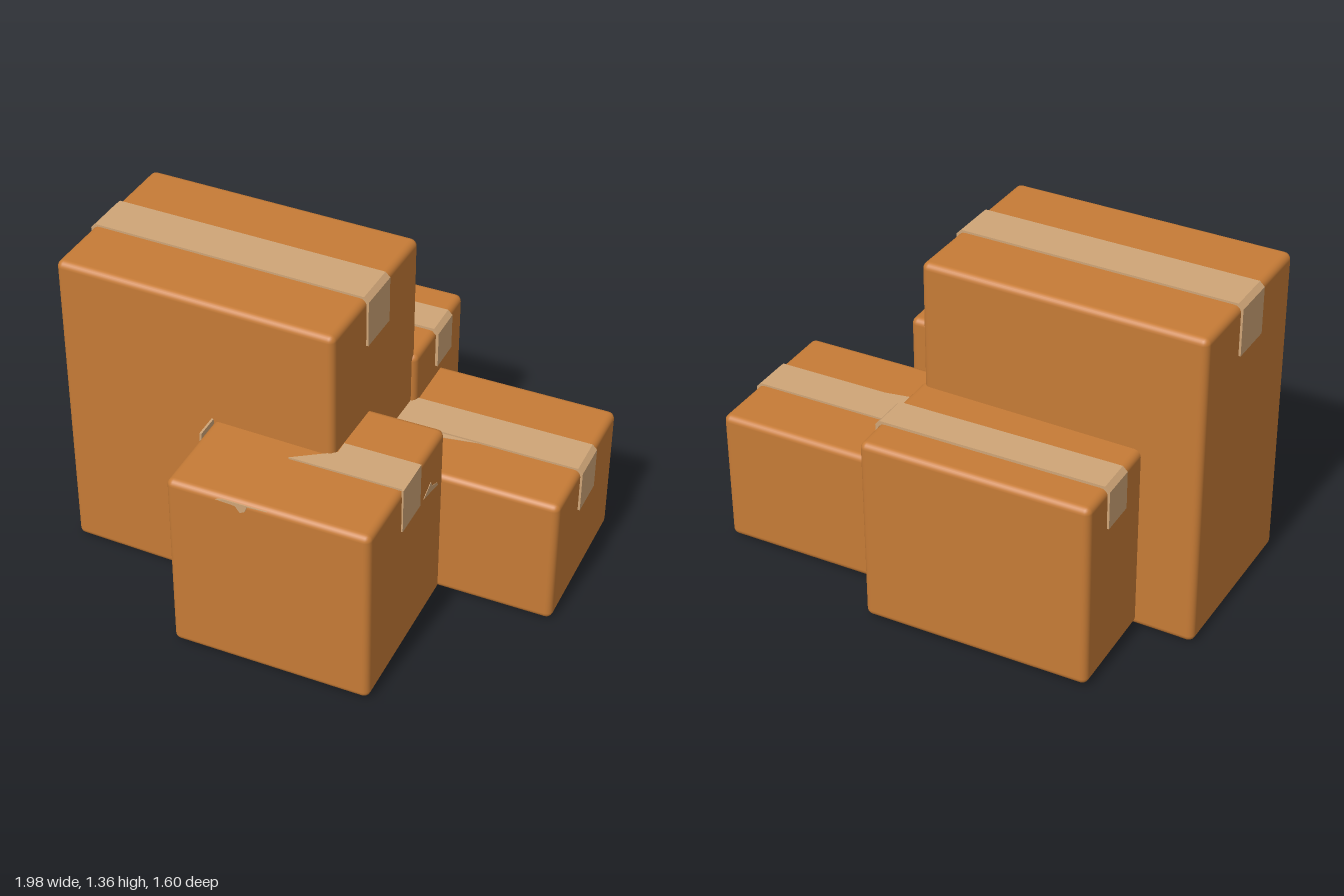
import * as THREE from 'three';
import { RoundedBoxGeometry } from 'three/addons/geometries/RoundedBoxGeometry.js';

const cardboard = new THREE.MeshStandardMaterial({ color: 0xc67b36 });
cardboard.name = 'cardboard';
const tape = new THREE.MeshStandardMaterial({ color: 0xcfa577 });
tape.name = 'packing tape';

function mesh(name, geometry, material) {
  const m = new THREE.Mesh(geometry, material);
  m.name = name;
  return m;
}

// Closed carton with softly rounded edges, its base at y = y0
function carton(w, h, d, y0) {
  const g = new RoundedBoxGeometry(w, h, d, 3, 0.028);
  g.translate(0, y0 + h / 2, 0);
  return mesh('carton', g, cardboard);
}

// Tape strip over the top, folded down both ends (x0..x1 is the carton's span)
function tapeStrip(x0, x1, top, drop, z0, z1) {
  const t = 0.009, r = 0.02, i = 0.003;
  const s = new THREE.Shape();
  s.moveTo(x0 - t, drop);
  s.lineTo(x0 - t, top + t - r);
  s.lineTo(x0 - t + r, top + t);
  s.lineTo(x1 + t - r, top + t);
  s.lineTo(x1 + t, top + t - r);
  s.lineTo(x1 + t, drop);
  s.lineTo(x1 - i, drop);
  s.lineTo(x1 - i, top - r);
  s.lineTo(x1 - r, top - i);
  s.lineTo(x0 + r, top - i);
  s.lineTo(x0 + i, top - r);
  s.lineTo(x0 + i, drop);
  const g = new THREE.ExtrudeGeometry(s, { depth: z1 - z0, bevelEnabled: false });
  g.translate(0, 0, z0);
  return mesh('tapeStrip', g, tape);
}

// Thin flat scrap of tape, drawn in its own XY plane
function scrap(name, points, depth = 0.004) {
  const s = new THREE.Shape(points.map(([x, y]) => new THREE.Vector2(x, y)));
  return mesh(name, new THREE.ExtrudeGeometry(s, { depth, bevelEnabled: false }), tape);
}

function group(name, x, z, ...parts) {
  const g = new THREE.Group();
  g.name = name;
  g.position.set(x, 0, z);
  g.add(...parts);
  return g;
}

export function createModel() {
  const model = new THREE.Group();
  model.name = 'cartonStack';

  // Tall carton, turned very slightly
  const tall = group('tallCarton', -0.385, 0.02,
    carton(1.175, 1.348, 0.755, 0),
    tapeStrip(-0.5875, 0.5875, 1.348, 1.14, -0.095, 0.095));
  tall.rotation.y = -0.027;

  // Back carton
  const back = group('backCarton', -0.243, -0.55,
    carton(0.95, 0.8, 0.5, 0.01),
    tapeStrip(-0.475, 0.48, 0.812, 0.64, -0.1, 0.05));

  // Low side carton
  const side = group('sideCarton', 0.588, -0.25,
    carton(0.8, 0.575, 0.68, 0.008),
    tapeStrip(-0.4, 0.4, 0.583, 0.39, -0.08, 0.09));

  // Front carton; its top tape is partly torn away
  const front = group('frontCarton', 0.095, 0.438, carton(0.83, 0.8, 0.72, 0.01));

  const topTape = scrap('tornTopTape',
    [[0.045, -0.495], [0.515, -0.495], [0.515, -0.33], [0.2, -0.33], [0.2, -0.39]], 0.009);
  topTape.rotation.x = -Math.PI / 2;
  topTape.position.y = 0.809;

  // Folded-down tape ends of the front carton
  const ends = [0.512, -0.322].map((x) => {
    const g = new THREE.BoxGeometry(0.009, 0.198, 0.172);
    g.translate(x, 0.719, 0.416);
    return mesh('tapeEnd', g, tape);
  });

  // Loose scraps: front face, side face, underside and low carton's top
  const frontScrap = scrap('frontScrap',
    [[-0.11, 0.79], [-0.03, 0.785], [-0.01, 0.758], [0.01, 0.77], [0.02, 0.795], [0.1, 0.8], [-0.08, 0.8]]);
  frontScrap.position.z = 0.796;

  const sideScrap = scrap('sideScrap',
    [[-0.285, 0.615], [-0.14, 0.58], [-0.15, 0.598], [-0.2, 0.62], [-0.215, 0.648]]);
  sideScrap.rotation.y = Math.PI / 2;
  sideScrap.position.x = 0.508;

  const underScrap = scrap('underScrap',
    [[0.24, 0.77], [-0.06, 0.77], [-0.04, 0.69], [0.2, 0.37], [0.28, 0.48]]);
  underScrap.rotation.x = Math.PI / 2;
  underScrap.position.y = 0.0115;

  const lowScrap = scrap('lowScrap', [[0.27, 0.16], [0.29, 0.118], [0.38, 0.13], [0.56, 0.16]]);
  lowScrap.rotation.x = -Math.PI / 2;
  lowScrap.position.y = 0.581;

  model.add(tall, back, side, front, topTape, ...ends, frontScrap, sideScrap, underScrap, lowScrap);
  return model;
}
